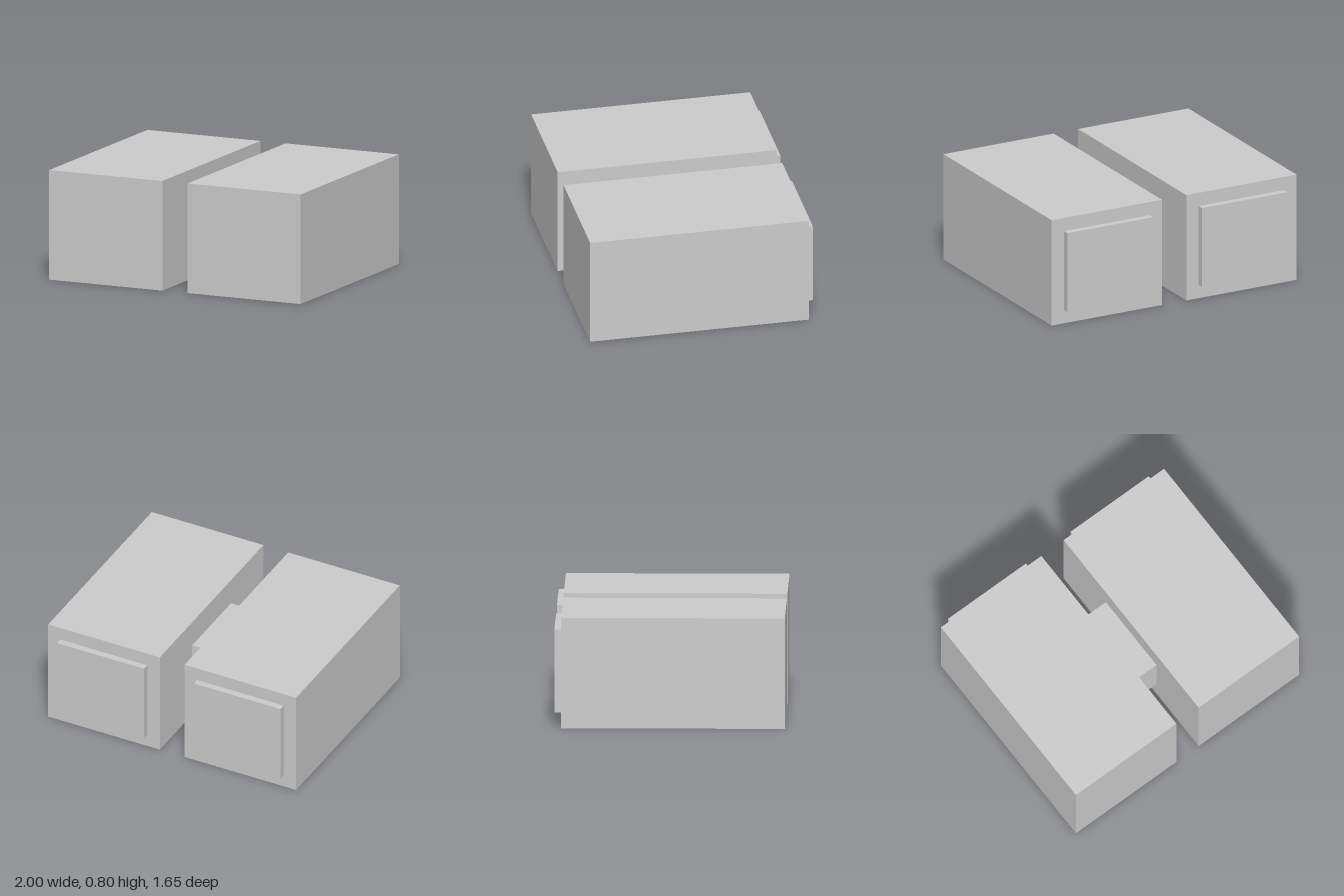
import * as THREE from 'three';

export function createModel() {
  const group = new THREE.Group();
  const material = new THREE.MeshStandardMaterial({ color: 0xcccccc, flatShading: true });

  const addBox = (name, size, position) => {
    const mesh = new THREE.Mesh(new THREE.BoxGeometry(...size), material);
    mesh.name = name;
    mesh.position.set(...position);
    group.add(mesh);
  };

  // Two mirrored blocks, each with a raised panel on its back
  for (const [side, s] of [['left', 1], ['right', -1]]) {
    addBox(side + 'Block', [0.9, 0.8, 1.6], [s * 0.55, 0.4, 0.025]);
    addBox(side + 'BackPanel', [0.7, 0.6, 0.05], [s * 0.55, 0.4, -0.8]);
  }

  // Bridge joining the blocks
  addBox('bridge', [0.2, 0.4, 0.6], [0, 0.4, 0.025]);

  return group;
}
